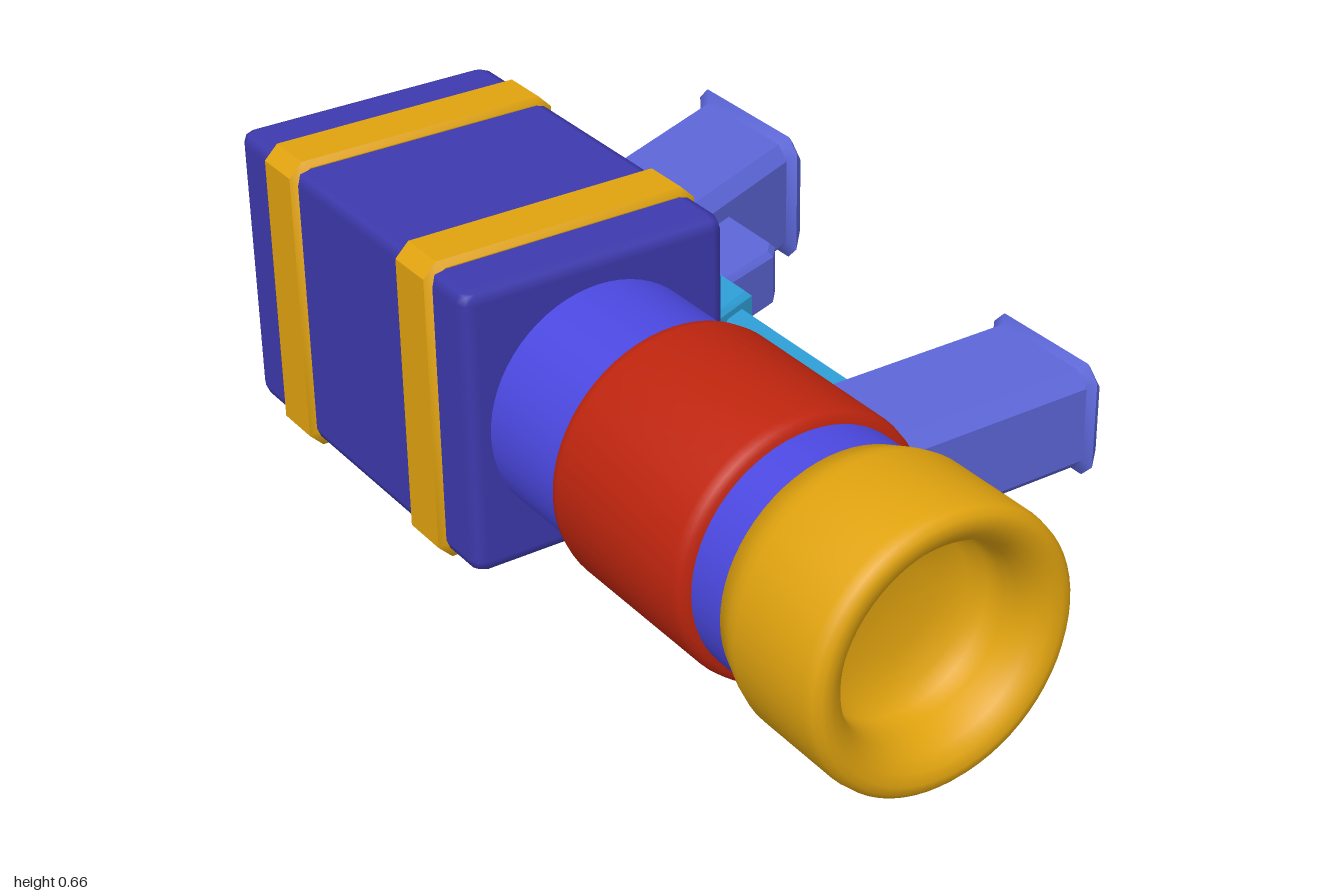
import * as THREE from 'three';
import { toCreasedNormals } from 'three/addons/utils/BufferGeometryUtils.js';
import { RoundedBoxGeometry } from 'three/addons/geometries/RoundedBoxGeometry.js';

const material = (name, color) => {
  const m = new THREE.MeshStandardMaterial({ color });
  m.name = name;
  return m;
};

// Closed solid through corner-cut rectangles: [z, centreX, halfWidth, halfHeight, cornerCut]
function loft(sections) {
  const pos = [], index = [];
  for (const [z, cx, w, h, c] of sections) {
    const outline = [[w, -h + c], [w, h - c], [w - c, h], [-w + c, h],
      [-w, h - c], [-w, -h + c], [-w + c, -h], [w - c, -h]];
    for (const [x, y] of outline) pos.push(cx + x, y, z);
  }
  for (let i = 0; i < sections.length - 1; i++) {
    for (let j = 0; j < 8; j++) {
      const a = i * 8 + j, b = i * 8 + (j + 1) % 8;
      index.push(a, b, b + 8, a, b + 8, a + 8);
    }
  }
  const last = (sections.length - 1) * 8;
  for (let j = 1; j < 7; j++) {
    index.push(0, j + 1, j, last, last + j, last + j + 1);
  }
  const g = new THREE.BufferGeometry();
  g.setAttribute('position', new THREE.Float32BufferAttribute(pos, 3));
  g.setIndex(index);
  return toCreasedNormals(g, 0.6);
}

// Turned part along x from [radius, x] points
function turned(points) {
  const g = new THREE.LatheGeometry(points.map(([r, x]) => new THREE.Vector2(r, x)), 64);
  g.rotateZ(-Math.PI / 2);
  return toCreasedNormals(g, 0.85);
}

// Plate with a top-view outline [x, z], bevelled, between two heights
function plate(outline, y0, y1, bevel = 0.012) {
  const shape = new THREE.Shape(outline.map(([x, z]) => new THREE.Vector2(x, -z)));
  const g = new THREE.ExtrudeGeometry(shape, {
    depth: y1 - y0 - 2 * bevel, bevelEnabled: true, bevelThickness: bevel,
    bevelSize: bevel, bevelOffset: -bevel, bevelSegments: 1,
  });
  g.rotateX(-Math.PI / 2);
  g.translate(0, y0 + bevel, 0);
  return g;
}

export function createModel() {
  const model = new THREE.Group();
  model.name = 'blaster';
  const indigo = material('dark indigo', 0x3d39ad);
  const violet = material('bright violet blue', 0x4b48e0);
  const gold = material('gold', 0xe0a30f);
  const red = material('red', 0xbe250e);
  const periwinkle = material('periwinkle', 0x5c66d8);
  const cyan = material('cyan blue', 0x2f9fd8);

  const add = (name, geometry, mat, x = 0, y = 0, z = 0) => {
    const mesh = new THREE.Mesh(geometry, mat);
    mesh.name = name;
    mesh.position.set(x, y, z);
    model.add(mesh);
    return mesh;
  };
  const axisY = 0.33, axisZ = 0.278;

  // Box body with two straps
  add('body', new RoundedBoxGeometry(0.912, 0.624, 0.594, 1, 0.03), indigo, -0.544, 0.333, axisZ);
  for (const x of [-0.805, -0.27]) {
    const strap = loft([
      [-0.065, 0, 0.297, 0.317, 0.03], [-0.053, 0, 0.309, 0.329, 0.03],
      [0.053, 0, 0.309, 0.329, 0.03], [0.065, 0, 0.297, 0.317, 0.03],
    ]);
    strap.rotateY(Math.PI / 2);
    add('strap', strap, gold, x, 0.33, axisZ);
  }

  // Barrel, sleeve and hollow muzzle
  add('barrel', turned([[0, -0.12], [0.252, -0.12], [0.252, 0.72], [0, 0.72]]), violet, 0, axisY, axisZ);
  add('sleeve', turned([[0.245, 0.153], [0.262, 0.156], [0.272, 0.166], [0.276, 0.185],
    [0.276, 0.56], [0.272, 0.58], [0.262, 0.589], [0.245, 0.592]]), red, 0, axisY, axisZ);
  add('muzzle', turned([[0.245, 0.68], [0.256, 0.685], [0.276, 0.738], [0.283, 0.765],
    [0.284, 0.965], [0.28, 0.987], [0.268, 0.998], [0.252, 1], [0.23, 0.992], [0.21, 0.972],
    [0.198, 0.945], [0.193, 0.91], [0.188, 0.87], [0.165, 0.845], [0.09, 0.83], [0, 0.825]]),
  gold, 0, axisY, axisZ);

  // Grips with flared end caps
  add('frontGrip', loft([
    [-0.486, 0, 0.137, 0.1, 0.03], [-0.462, 0, 0.156, 0.124, 0.03],
    [-0.448, 0, 0.142, 0.11, 0.03], [-0.02, 0, 0.142, 0.11, 0.03],
    [0.012, 0, 0.12, 0.085, 0.03],
  ]), periwinkle, 0.365, 0.31, 0);
  add('rearGrip', loft([
    [-0.594, -0.793, 0.165, 0.118, 0.03], [-0.568, -0.793, 0.188, 0.147, 0.03],
    [-0.55, -0.785, 0.165, 0.129, 0.03], [0.0, -0.55, 0.165, 0.129, 0.03],
  ]), periwinkle, 0, 0.31, 0);

  // Trigger and its mount
  add('trigger', plate([[-0.58, -0.34], [-0.37, -0.34], [-0.335, -0.31], [-0.275, -0.13], [-0.5, -0.13]],
    0.245, 0.375), periwinkle);
  add('triggerMount', plate([[-0.5, -0.137], [-0.33, -0.137], [-0.33, 0], [-0.5, 0]], 0.235, 0.385), periwinkle);

  // Side rail joining the front grip to the body
  add('railBlock', plate([[-0.345, -0.12], [-0.33, -0.135], [-0.165, -0.135], [-0.11, 0], [-0.345, 0]],
    0.21, 0.41), cyan);
  add('rail', plate([[-0.2, -0.112], [0.26, -0.112], [0.26, -0.04], [-0.2, -0.04]], 0.235, 0.385), cyan);

  return model;
}
